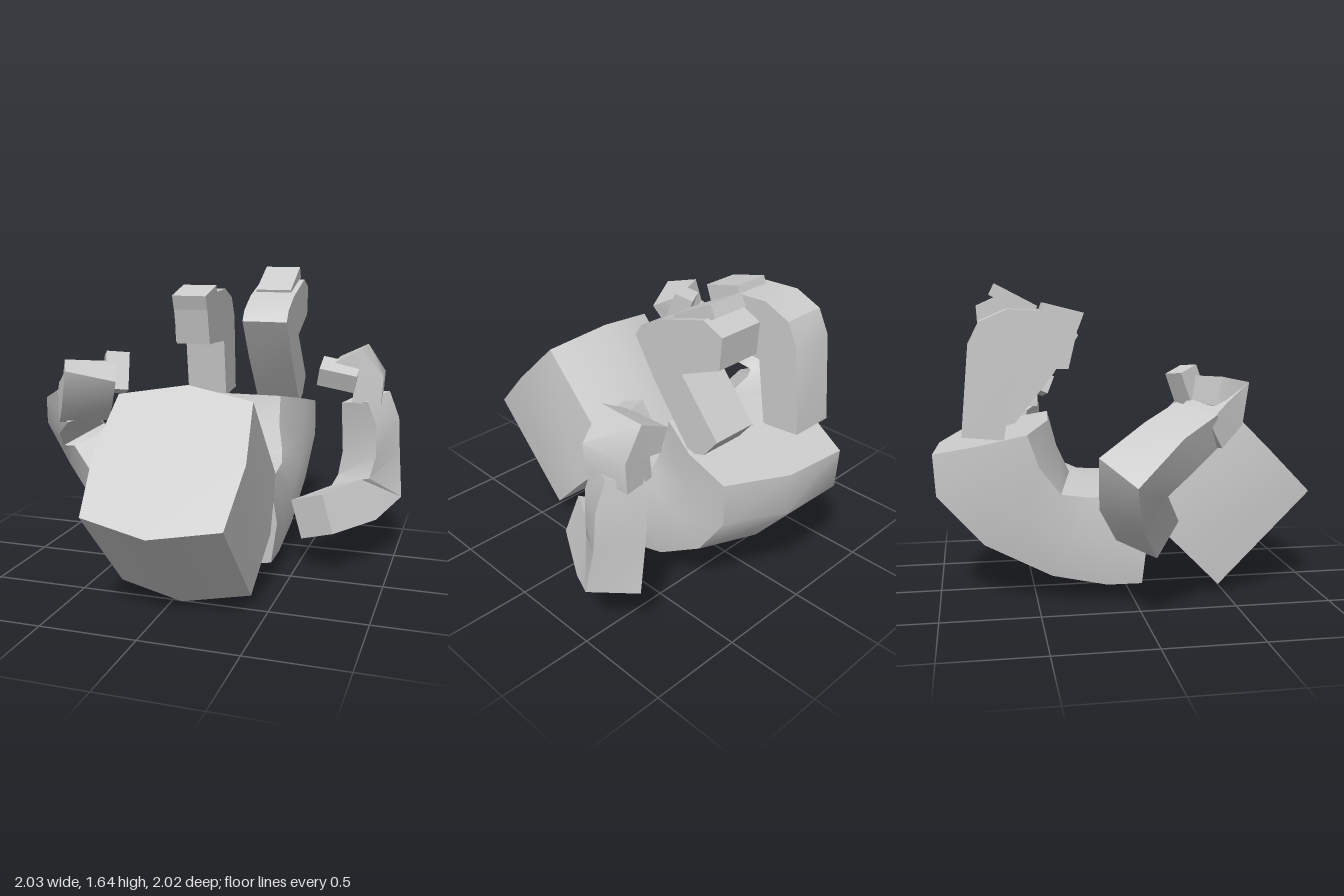
import * as THREE from 'three';
import { toCreasedNormals } from 'three/addons/utils/BufferGeometryUtils.js';

const V = (x, y, z) => new THREE.Vector3(x, y, z);
const material = new THREE.MeshStandardMaterial({ color: 0xcccccc });

function addMesh(parent, name, geometry) {
  const mesh = new THREE.Mesh(toCreasedNormals(geometry, 0.7), material);
  mesh.name = name;
  parent.add(mesh);
  return mesh;
}

// Closed skin over a row of cross-sections, each a loop of points
function loft(sections) {
  const n = sections[0].length, last = sections.length - 1;
  const pos = [];
  const tri = (...pts) => pts.forEach((p) => pos.push(p.x, p.y, p.z));
  for (let i = 0; i < last; i++) {
    for (let j = 0; j < n; j++) {
      const k = (j + 1) % n, a = sections[i], b = sections[i + 1];
      tri(a[j], a[k], b[k]);
      tri(a[j], b[k], b[j]);
    }
  }
  for (let j = 1; j < n - 1; j++) {
    tri(sections[0][0], sections[0][j + 1], sections[0][j]);
    tri(sections[last][0], sections[last][j], sections[last][j + 1]);
  }
  const g = new THREE.BufferGeometry();
  g.setAttribute('position', new THREE.Float32BufferAttribute(pos, 3));
  return g;
}

// Bulged square section between an outer and an inner point, both given as [z, y]
const bulged = [[0.385, 0], [0.35, 0.82], [0, 1], [-0.35, 0.82], [-0.385, 0], [-0.35, -0.82], [0, -1], [0.35, -0.82]];
function bulgedSection([oz, oy], [iz, iy], twist = 0) {
  const half = Math.hypot(oz - iz, oy - iy) / 2;
  const c = Math.cos(twist), s = Math.sin(twist);
  return bulged.map(([x, h]) => {
    const v = (h * half * c - x * s) / half;
    return V(0.05 + x * c + h * half * s, (oy + iy) / 2 + (v * (oy - iy)) / 2, (oz + iz) / 2 + (v * (oz - iz)) / 2);
  });
}

// Rectangular bar along a path; each point is [x, y, z, half width, half thickness]
function bar(path, widthDir) {
  const p = path.map((a) => V(a[0], a[1], a[2]));
  return loft(path.map((a, i) => {
    const t = p[Math.min(i + 1, p.length - 1)].clone().sub(p[Math.max(i - 1, 0)]).normalize();
    const s = widthDir.clone().addScaledVector(t, -widthDir.dot(t)).normalize();
    const n = t.clone().cross(s);
    return [[1, 1], [-1, 1], [-1, -1], [1, -1]].map(([u, v]) =>
      p[i].clone().addScaledVector(s, u * a[3]).addScaledVector(n, v * a[4]));
  }));
}

// Side outline of [z, y] points, extruded from x0 to x1
function sidePlate(outline, x0, x1) {
  const shape = new THREE.Shape(outline.map(([z, y]) => new THREE.Vector2(z, y)));
  const g = new THREE.ExtrudeGeometry(shape, { depth: x1 - x0, bevelEnabled: false });
  return g.rotateY(-Math.PI / 2).translate(x1, 0, 0);
}

export function createModel() {
  const model = new THREE.Group();
  model.name = 'recliningFigure';

  // Head: a tilted block with gently bulged sides
  addMesh(model, 'head', loft([
    bulgedSection([1.0, 0.49], [0.4, 1.1]),
    bulgedSection([0.51, 0.0], [-0.09, 0.61]),
  ]));

  // Body: curls from the neck up to the hips, twisting a little
  addMesh(model, 'body', loft([
    bulgedSection([0.04, 0.03], [0.09, 0.6]),
    bulgedSection([-0.15, 0.03], [-0.04, 0.62]),
    bulgedSection([-0.44, 0.11], [-0.2, 0.61], 0.04),
    bulgedSection([-0.78, 0.31], [-0.3, 0.63], 0.12),
    bulgedSection([-1.0, 0.57], [-0.36, 0.76], 0.2),
    bulgedSection([-1.0, 0.79], [-0.41, 0.92], 0.23),
  ]));

  // Right leg: upright, bent forward at the knee
  const rightLeg = new THREE.Group();
  rightLeg.name = 'rightLeg';
  addMesh(rightLeg, 'rightLegBend', sidePlate([
    [-0.66, 0.86], [-0.87, 0.88], [-0.83, 1.33], [-0.77, 1.45], [-0.63, 1.51],
    [-0.42, 1.5], [-0.42, 1.21], [-0.61, 1.2],
  ], -0.31, -0.07));
  addMesh(rightLeg, 'rightAnkle', sidePlate([
    [-0.45, 1.21], [-0.33, 1.21], [-0.28, 1.42], [-0.45, 1.47],
  ], -0.27, -0.07));
  addMesh(rightLeg, 'rightFoot', sidePlate([
    [-0.25, 1.49], [-0.28, 1.41], [-0.48, 1.46], [-0.45, 1.54],
  ], -0.27, -0.07));

  // Left leg: thigh leans forward, shin folds back
  const leftLeg = new THREE.Group();
  leftLeg.name = 'leftLeg';
  addMesh(leftLeg, 'leftLegBend', sidePlate([
    [-0.6, 0.86], [-0.37, 1.15], [-0.23, 1.36], [-0.27, 1.42], [-0.4, 1.49], [-0.67, 1.57],
    [-0.78, 1.52], [-0.77, 1.36], [-0.54, 1.26], [-0.77, 0.99], [-0.69, 0.89],
  ], 0.15, 0.4));
  addMesh(leftLeg, 'leftFoot', sidePlate([
    [-0.45, 1.52], [-0.48, 1.45], [-0.71, 1.58], [-0.68, 1.64],
  ], 0.17, 0.37));

  // Left arm: back from the shoulder, up at the elbow, hooked hand
  const leftArm = new THREE.Group();
  leftArm.name = 'leftArm';
  addMesh(leftArm, 'leftArmBend', bar([
    [0.59, 0.32, -0.09, 0.12, 0.11], [0.77, 0.33, -0.4, 0.12, 0.12], [0.84, 0.4, -0.53, 0.13, 0.14],
    [0.84, 0.6, -0.55, 0.12, 0.11], [0.83, 0.78, -0.55, 0.12, 0.11], [0.8, 0.92, -0.54, 0.09, 0.11],
  ], V(0.21, 0.09, 0.12)));
  addMesh(leftArm, 'leftWrist', bar([
    [0.81, 0.9, -0.55, 0.13, 0.08], [0.82, 1.04, -0.55, 0.13, 0.08],
    [0.77, 1.12, -0.55, 0.13, 0.09], [0.65, 1.07, -0.55, 0.13, 0.06],
  ], V(0.08, 0, 1)));
  addMesh(leftArm, 'leftHand', new THREE.BoxGeometry(0.21, 0.11, 0.14))
    .position.set(0.66, 1.06, -0.42);
  leftArm.children[2].rotation.set(0.4, 0, -0.2);

  // Right arm: out from the shoulder, forward at the elbow, hooked hand
  const rightArm = new THREE.Group();
  rightArm.name = 'rightArm';
  addMesh(rightArm, 'rightArmBend', bar([
    [-0.51, 0.42, 0.03, 0.12, 0.11], [-0.72, 0.62, -0.08, 0.12, 0.11], [-0.82, 0.75, -0.1, 0.13, 0.13],
    [-0.74, 0.87, 0.08, 0.12, 0.11], [-0.59, 0.96, 0.26, 0.12, 0.09],
  ], V(0.16, 0.04, -0.16)));
  addMesh(rightArm, 'rightWrist', bar([
    [-0.6, 0.92, 0.25, 0.13, 0.08], [-0.53, 1.01, 0.36, 0.13, 0.08],
    [-0.49, 1.09, 0.4, 0.13, 0.09], [-0.53, 1.12, 0.3, 0.13, 0.07],
  ], V(0.21, 0, -0.13)));
  addMesh(rightArm, 'rightHand', new THREE.BoxGeometry(0.12, 0.2, 0.11))
    .position.set(-0.4, 1.12, 0.25);
  rightArm.children[2].rotation.set(-0.4, 0.5, 0.1);

  model.add(rightLeg, leftLeg, leftArm, rightArm);
  return model;
}
